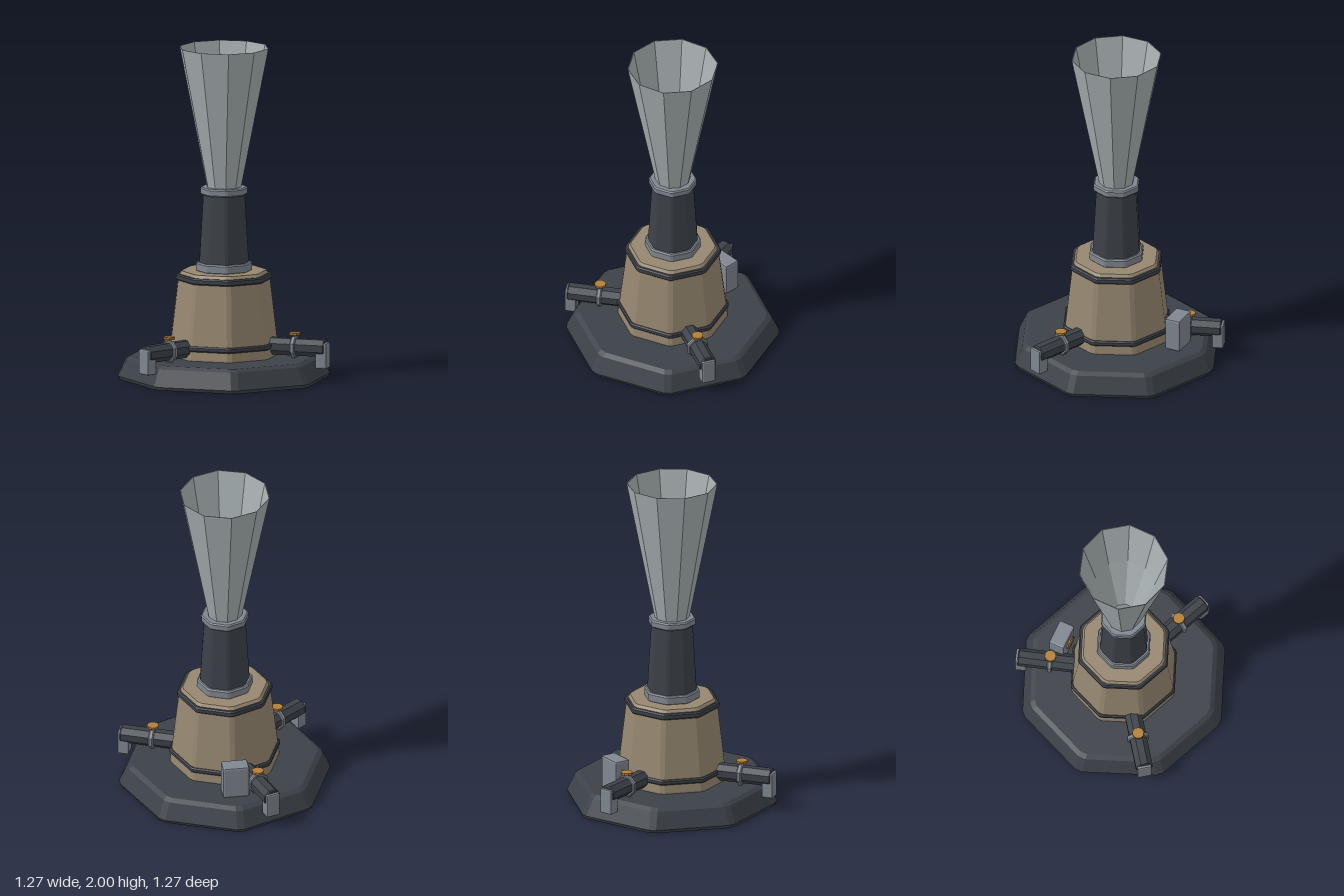
import * as THREE from 'three';
import { RoundedBoxGeometry } from 'three/addons/geometries/RoundedBoxGeometry.js';

const material = (name, color) => Object.assign(new THREE.MeshStandardMaterial({ color }), { name });

// Give every face its own flat normal
function faceted(geometry) {
  const g = geometry.index ? geometry.toNonIndexed() : geometry;
  g.computeVertexNormals();
  return g;
}

const profile = (points) => points.map(([r, y]) => new THREE.Vector2(r, y));

// Octagonal solid with small chamfers on its eight corners; profile runs bottom to top
function octagon(points, chamfer = 0.015) {
  const g = new THREE.LatheGeometry(profile(points), 16);
  const p = g.attributes.position;
  for (let i = 0; i < p.count; i++) {
    const r = Math.hypot(p.getX(i), p.getZ(i));
    if (r < 1e-4) continue;
    const column = Math.floor(i / points.length);
    const side = column % 2 ? 1 : -1;
    const a = Math.floor(column / 2) * Math.PI / 4 + side * chamfer / r;
    p.setX(i, r * Math.sin(a));
    p.setZ(i, r * Math.cos(a));
  }
  return faceted(g);
}

// Octagonal disc with bevelled rims
function collar(r, y0, y1, b = 0.008) {
  return octagon([[0, y0], [r - b, y0], [r, y0 + b], [r, y1 - b], [r - b, y1], [0, y1]], 0.008);
}

// Eight-sided bar lying along x, with flats on top and sides
function bar(r, x0, x1, b = 0.006) {
  const pts = [[0, x0], [r - b, x0], [r, x0 + b], [r, x1 - b], [r - b, x1], [0, x1]];
  const g = new THREE.LatheGeometry(profile(pts), 8, Math.PI / 8);
  return faceted(g.rotateZ(-Math.PI / 2));
}

const bevelBox = (w, h, d, b) => faceted(new RoundedBoxGeometry(w, h, d, 1, b));

export function createModel() {
  const model = new THREE.Group();
  model.name = 'hornTower';
  const dark = material('dark iron', 0x3c4148);
  const tan = material('tan casing', 0x968770);
  const steel = material('steel', 0x808790);
  const pale = material('pale metal', 0xa8b0b2);
  const brass = material('brass', 0xb47f38);

  function add(parent, name, geometry, mat, x = 0, y = 0, z = 0) {
    const mesh = new THREE.Mesh(geometry, mat);
    mesh.name = name;
    mesh.position.set(x, y, z);
    parent.add(mesh);
    return mesh;
  }

  // Plinth and tapered casing
  add(model, 'base', octagon([[0, 0], [0.627, 0], [0.636, 0.02], [0.588, 0.122], [0.56, 0.14], [0, 0.14]], 0.022), dark);
  add(model, 'casing', octagon([[0, 0.13], [0.328, 0.13], [0.328, 0.15], [0.276, 0.6],
    [0.264, 0.635], [0.252, 0.65], [0, 0.65]]), tan);
  add(model, 'lowerBand', collar(0.334, 0.195, 0.228), dark);
  add(model, 'upperBand', collar(0.287, 0.594, 0.632), dark);

  // Neck between two collars
  add(model, 'lowerCollar', collar(0.167, 0.645, 0.702), steel);
  add(model, 'neck', octagon([[0, 0.69], [0.149, 0.69], [0.124, 1.12], [0, 1.12]], 0.01), dark);
  add(model, 'upperCollar', collar(0.142, 1.11, 1.156), steel);

  // Open ten-sided horn with inner and outer walls
  add(model, 'horn', faceted(new THREE.LatheGeometry(profile([
    [0.104, 1.15], [0.272, 2], [0.268, 2], [0.188, 1.6], [0.07, 1.15],
  ]), 10)), pale);

  // Three valved pipes around the casing
  for (const [x, z] of [[0.6, 0.252], [-0.525, 0.387], [-0.2, -0.62]]) {
    const pipe = new THREE.Group();
    pipe.name = 'pipeAssembly';
    pipe.rotation.y = -Math.atan2(z, x);
    pipe.position.y = 0.206;
    model.add(pipe);
    add(pipe, 'pipe', bar(0.055, 0.25, 0.637), dark);
    add(pipe, 'pipeRing', bar(0.07, 0.428, 0.457), steel);
    add(pipe, 'spout', bevelBox(0.07, 0.155, 0.086, 0.01), steel, 0.617, -0.044, 0);
    add(pipe, 'valveStem', faceted(new THREE.CylinderGeometry(0.012, 0.012, 0.03, 8)), brass, 0.443, 0.066, 0);
    add(pipe, 'valveWheel', faceted(new THREE.CylinderGeometry(0.035, 0.035, 0.014, 10)), brass, 0.443, 0.08, 0);
  }

  // Control box behind the casing, with a gauge facing inward
  add(model, 'controlBox', bevelBox(0.16, 0.205, 0.1, 0.012), steel, 0, 0.24, -0.41);
  const gauge = faceted(new THREE.CylinderGeometry(0.042, 0.042, 0.009, 10).rotateX(Math.PI / 2));
  add(model, 'gauge', gauge, brass, 0, 0.262, -0.356);

  return model;
}
